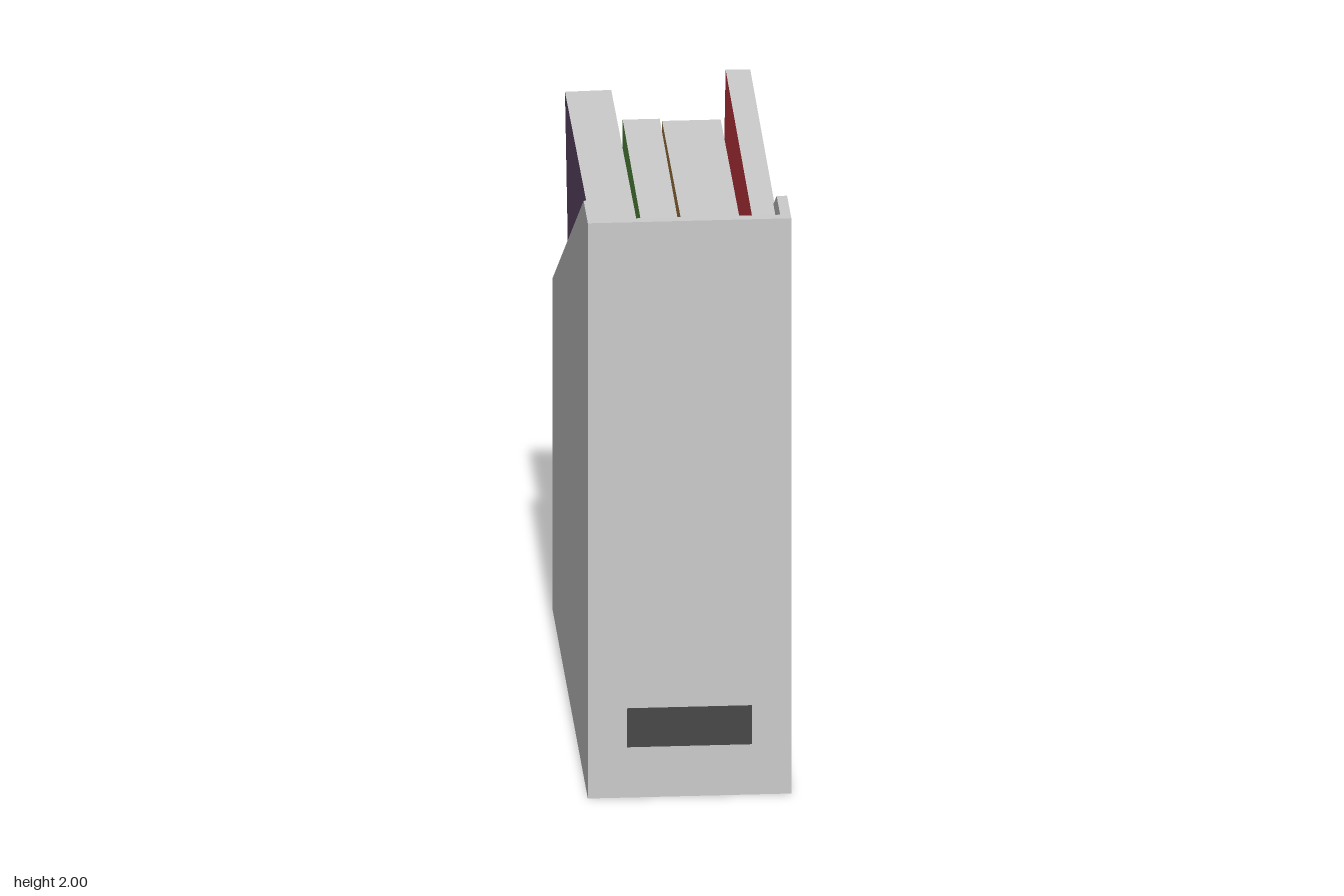
import * as THREE from 'three';

const W = 0.33, D = 0.835, T = 0.034; // half width, half depth, wall thickness
const FLOOR = 0.045;
const grey = new THREE.MeshStandardMaterial({ color: 0xcccccc });

// Extrudes a [z, y] outline along x, from x0 over the given width
function extrudeAlongX(points, x0, width, name) {
  const shape = new THREE.Shape(points.map(([z, y]) => new THREE.Vector2(-z, y)));
  const geometry = new THREE.ExtrudeGeometry(shape, { depth: width, bevelEnabled: false });
  geometry.rotateY(Math.PI / 2).translate(x0, 0, 0);
  const mesh = new THREE.Mesh(geometry, grey);
  mesh.name = name;
  return mesh;
}

// Book hung from the centre of its top edge; lean is how far the top is shifted from the bottom
function makeBook({ name, color, top, width, depth, leanX, leanZ }) {
  const height = top[1] - FLOOR;
  const cover = new THREE.MeshStandardMaterial({ color });
  const geometry = new THREE.BoxGeometry(width, height, depth).translate(0, -height / 2, 0);
  // coloured covers (+x, -x) and spine (-z); grey page edges elsewhere
  const book = new THREE.Mesh(geometry, [cover, cover, grey, grey, grey, cover]);
  book.name = name;
  book.position.set(...top);
  book.rotation.set(Math.atan(leanZ / height), 0, -Math.atan(leanX / height));
  return book;
}

export function createModel() {
  const model = new THREE.Group();
  model.name = 'magazineFile';

  // Holder: two cut-away side walls joined by front wall, floor and back wall
  const holder = new THREE.Group();
  holder.name = 'holder';
  const backY = 1.155, cutZ = 0.635;
  const innerBackY = backY + T * (2 - backY) / (cutZ + D);
  const side = [[-D, 0], [D, 0], [D, 2], [cutZ, 2], [-D, backY]];
  const trough = [
    [-D, 0], [D, 0], [D, 2], [D - T, 2], [D - T, T],
    [-D + T, T], [-D + T, innerBackY], [-D, backY],
  ];
  holder.add(
    extrudeAlongX(side, W - T, T, 'leftWall'),
    extrudeAlongX(side, -W, T, 'rightWall'),
    extrudeAlongX(trough, -W + T, 2 * (W - T), 'frontFloorBack'),
  );

  // Dark label plate low on the front
  const label = new THREE.Mesh(
    new THREE.BoxGeometry(0.405, 0.135, 0.006),
    new THREE.MeshStandardMaterial({ color: 0x484848 }),
  );
  label.name = 'labelPlate';
  label.position.set(0, 0.243, D - 0.001);
  holder.add(label);
  model.add(holder);

  // Books
  const books = new THREE.Group();
  books.name = 'books';
  [
    { name: 'purpleBook', color: 0x664d6e, top: [-0.225, 1.871, 0.013], width: 0.15, depth: 1.405, leanX: -0.03, leanZ: -0.03 },
    { name: 'greenBook', color: 0x5a9642, top: [-0.06, 1.788, 0.08], width: 0.12, depth: 1.33, leanX: 0, leanZ: 0.025 },
    { name: 'brownBook', color: 0xaa7d44, top: [0.095, 1.842, 0.148], width: 0.19, depth: 1.235, leanX: 0, leanZ: -0.02 },
    { name: 'redBook', color: 0xc93a40, top: [0.26, 1.918, -0.045], width: 0.08, depth: 1.26, leanX: 0.03, leanZ: 0.024 },
  ].forEach((spec) => books.add(makeBook(spec)));
  model.add(books);

  return model;
}
